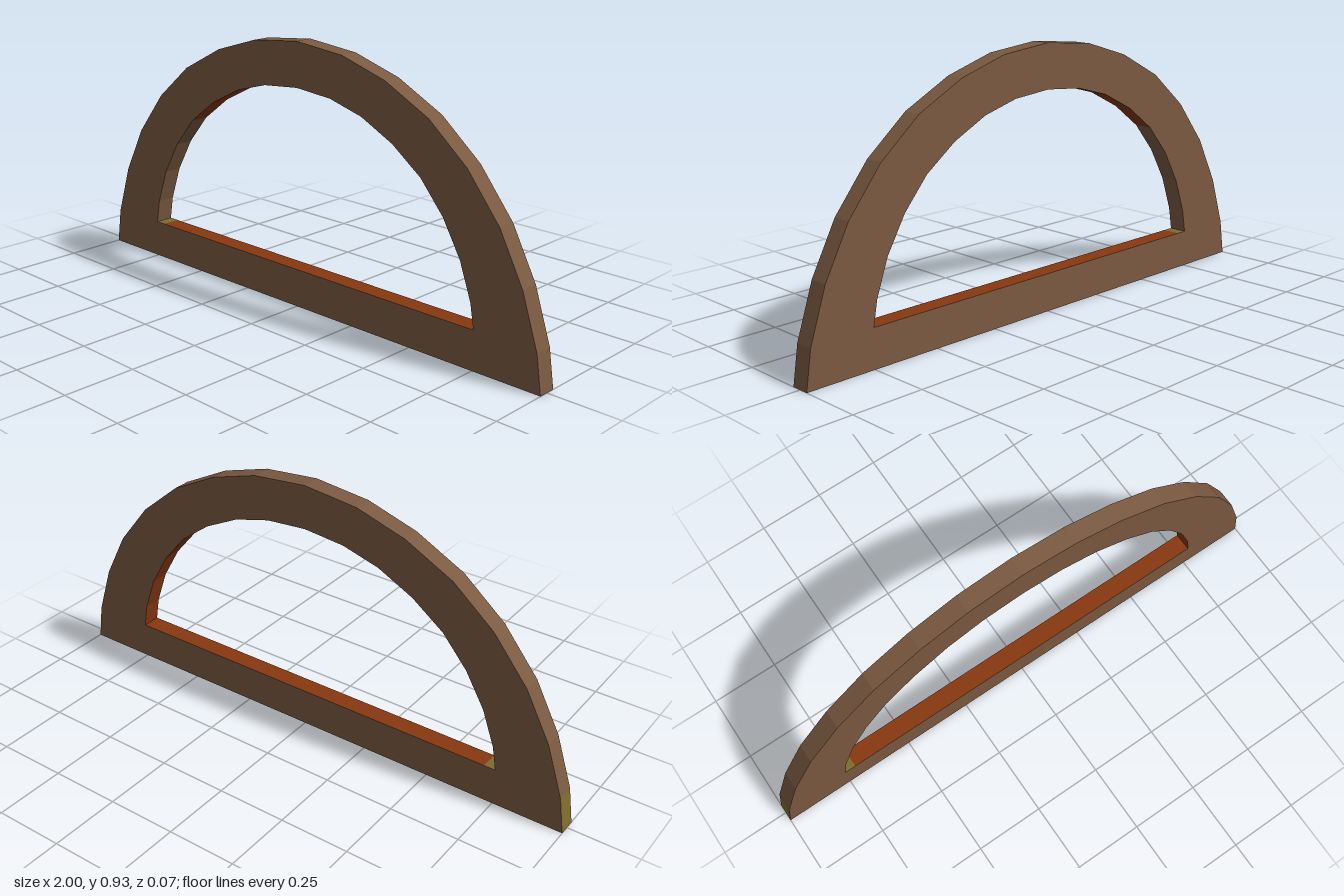
import * as THREE from 'three';

const HALF_DEPTH = 0.033;

// Half profiles, from the right foot up to the crown
const OUTER = [[1, 0], [0.98, 0.13], [0.92, 0.31], [0.83, 0.48], [0.705, 0.635], [0.555, 0.76], [0.38, 0.85], [0.2, 0.905], [0, 0.925]];
const INNER = [[0.75, 0.135], [0.735, 0.22], [0.69, 0.345], [0.62, 0.465], [0.53, 0.57], [0.415, 0.655], [0.285, 0.72], [0.15, 0.757], [0, 0.77]];

// Complete an arch by mirroring its half profile
const mirrorArch = (half) => [...half, ...half.slice(0, -1).reverse().map(([x, y]) => [-x, y])];

// Flat-sided wall following a path; it faces to the right of the path direction
function wall(path) {
  const position = [];
  for (let i = 0; i < path.length - 1; i++) {
    const [ax, ay] = path[i];
    const [bx, by] = path[i + 1];
    const d = HALF_DEPTH;
    position.push(ax, ay, d, ax, ay, -d, bx, by, -d);
    position.push(ax, ay, d, bx, by, -d, bx, by, d);
  }
  const geometry = new THREE.BufferGeometry();
  geometry.setAttribute('position', new THREE.Float32BufferAttribute(position, 3));
  geometry.computeVertexNormals();
  return geometry;
}

export function createModel() {
  const group = new THREE.Group();
  group.name = 'archedWindowFrame';

  const material = (name, color) => {
    const m = new THREE.MeshStandardMaterial({ color });
    m.name = name;
    return m;
  };
  const wood = material('brownWood', 0x7b5a41);
  const lining = material('russetLining', 0x873810);
  const olive = material('oliveEdge', 0x7d6c2c);

  const add = (name, geometry, mat) => {
    const mesh = new THREE.Mesh(geometry, mat);
    mesh.name = name;
    group.add(mesh);
    return mesh;
  };

  const outer = mirrorArch(OUTER);
  const inner = mirrorArch(INNER).reverse();
  const toVectors = (points) => points.map(([x, y]) => new THREE.Vector2(x, y));

  // Front and back faces with the half-round opening
  const shape = new THREE.Shape(toVectors(outer));
  shape.holes.push(new THREE.Path(toVectors(inner)));
  const face = new THREE.ShapeGeometry(shape);
  add('frontFace', face, wood).position.z = HALF_DEPTH;
  const back = add('backFace', face, wood);
  back.position.z = -HALF_DEPTH;
  back.rotation.y = Math.PI;

  // Outside of the arch and its underside
  add('outerArch', wall(outer.slice(0, -1)), wood);
  add('outerFootEdge', wall(outer.slice(-2)), olive);
  add('underside', wall([[-1, 0], [1, 0]]), wood);

  // Inside of the arch: plain lower right part, then the russet lining
  add('innerArchPlain', wall(inner.slice(0, 5)), wood);
  add('innerArchLining', wall(inner.slice(4)), lining);

  // Sill across the bottom of the opening
  add('sill', wall([[0.75, 0.135], [-0.71, 0.135]]), lining);
  add('sillCorner', wall([[-0.71, 0.135], [-0.75, 0.135]]), olive);

  return group;
}
